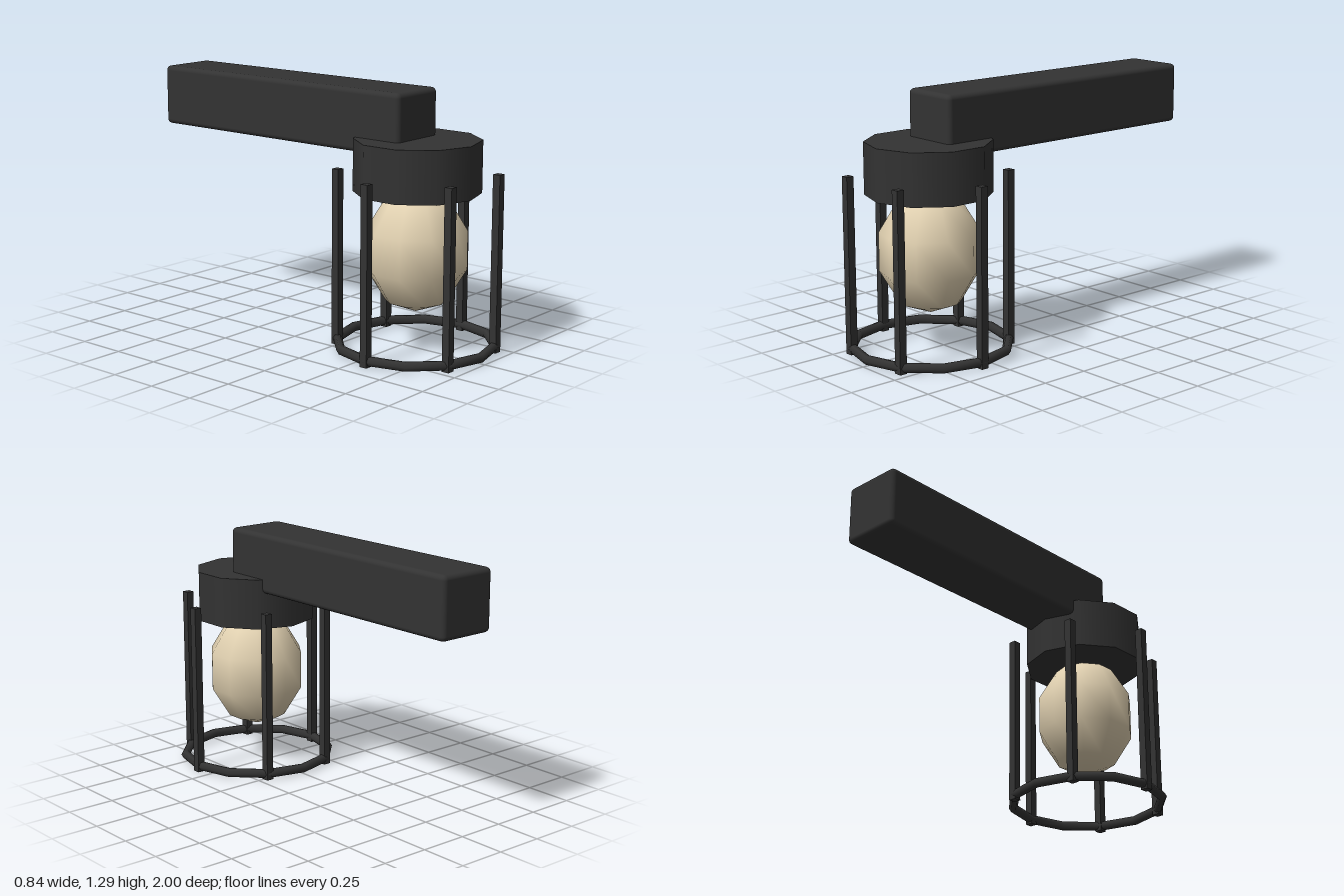
import * as THREE from 'three';
import { RoundedBoxGeometry } from 'three/addons/geometries/RoundedBoxGeometry.js';

const darkMetal = new THREE.MeshStandardMaterial({ name: 'darkMetal', color: 0x333333 });
const warmGlass = new THREE.MeshStandardMaterial({ name: 'warmGlass', color: 0xe0d0b0 });

function add(parent, name, geometry, material, x, y, z) {
  const mesh = new THREE.Mesh(geometry, material);
  mesh.name = name;
  mesh.position.set(x, y, z);
  parent.add(mesh);
  return mesh;
}

export function createModel() {
  const model = new THREE.Group();
  model.name = 'wallLantern';

  // Wall arm reaching forward over the lamp
  add(model, 'wallArm', new RoundedBoxGeometry(0.315, 0.312, 1.58, 3, 0.025), darkMetal, 0, 1.136, -0.21);

  // Lamp hangs under the front end of the arm
  const lamp = new THREE.Group();
  lamp.name = 'lamp';
  lamp.position.z = 0.58;
  model.add(lamp);

  add(lamp, 'cap', new THREE.CylinderGeometry(0.315, 0.315, 0.262, 10), darkMetal, 0, 0.924, 0);

  // Egg-shaped bulb with corners facing front and back
  const bulb = new THREE.SphereGeometry(0.263, 10, 5).rotateY(Math.PI / 2).scale(1, 1.2, 1);
  add(lamp, 'bulb', bulb, warmGlass, 0, 0.505, 0);

  // Guard cage: bottom ring and six upright bars
  const cageRadius = 0.394;
  const ring = new THREE.TorusGeometry(cageRadius, 0.024, 6, 12).rotateX(Math.PI / 2);
  add(lamp, 'cageRing', ring, darkMetal, 0, 0.03, 0);

  const bar = new THREE.BoxGeometry(0.04, 0.895, 0.04);
  for (let i = 0; i < 6; i++) {
    const a = (i * Math.PI) / 3;
    add(lamp, 'cageBar', bar, darkMetal, cageRadius * Math.cos(a), 0.4475, cageRadius * Math.sin(a));
  }
  return model;
}
